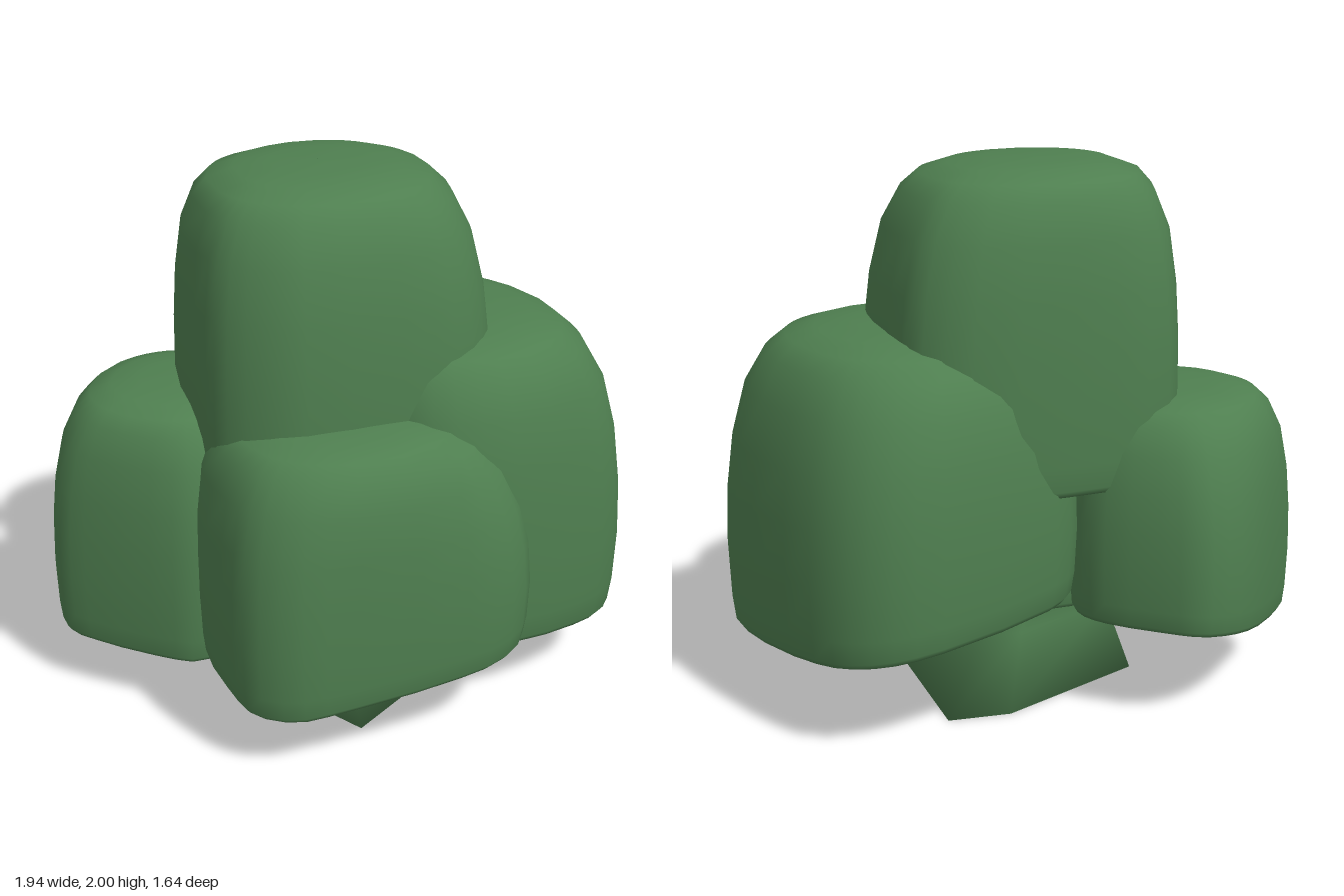
import * as THREE from 'three';

const green = new THREE.MeshStandardMaterial({ color: 0x4f7f50, side: THREE.DoubleSide });

// Skin a stack of rings, listed from bottom to top, with smooth normals
function loft(rings) {
  const n = rings[0].length, pos = rings.flat(2), index = [];
  for (let j = 0; j < rings.length - 1; j++) {
    for (let i = 0; i < n; i++) {
      const a = j * n + i, b = j * n + (i + 1) % n;
      index.push(a, a + n, b, b, a + n, b + n);
    }
  }
  const geo = new THREE.BufferGeometry();
  geo.setAttribute('position', new THREE.Float32BufferAttribute(pos, 3));
  geo.setIndex(index);
  geo.computeVertexNormals();
  return geo;
}

// Clump side: [outline scale, height fraction], from the rolled lip to the crown
const clumpProfile = [
  [0.9, 0.05], [0.92, 0.01], [0.945, 0], [0.97, 0.02], [0.988, 0.1], [1, 0.27], [0.992, 0.45],
  [0.965, 0.62], [0.905, 0.79], [0.8, 0.905], [0.69, 0.958], [0.52, 0.987], [0.3, 0.998], [0.002, 1],
];

// Hollow leaf clump over a rounded outline (x, z), with a slanted open bottom
function clump(name, { outline, bottom, top, slope = [0, 0], lean = [0, 0] }) {
  const curve = new THREE.CatmullRomCurve3(outline.map(([x, z]) => new THREE.Vector3(x, 0, z)), true);
  const pts = curve.getPoints(32).slice(0, 32);
  const box = new THREE.Box3().setFromPoints(pts);
  const c = box.getCenter(new THREE.Vector3()), size = box.getSize(new THREE.Vector3());
  const reach = pts.map((p) => 2 * Math.hypot((p.x - c.x) / size.x, (p.z - c.z) / size.z));
  const mean = reach.reduce((a, b) => a + b) / reach.length;
  const rings = clumpProfile.map(([s, t]) => pts.map((p, i) => {
    // towards the crown the outline becomes an ellipse
    const k = t * t * t, round = s * THREE.MathUtils.lerp(1, mean / reach[i], 0.9 * k);
    const dx = (p.x - c.x) * round, dz = (p.z - c.z) * round;
    const tilt = (slope[0] * dx + slope[1] * dz) * (1 - t);
    return [c.x + dx + lean[0] * k, bottom + (top - bottom) * t + tilt, c.z + dz + lean[1] * k];
  }));
  const mesh = new THREE.Mesh(loft(rings), green);
  mesh.name = name;
  return mesh;
}

// Flared five-sided trunk, leaning slightly back
function trunk() {
  const foot = [[-0.41, -0.2], [0.2, -0.28], [0.42, -0.2], [0.29, 0.32], [-0.21, 0.49]];
  const levels = [[0.002, 0], [1, 0], [0.7, 0.29], [0.55, 0.48], [0.48, 0.95], [0.002, 0.95]];
  const rings = levels.map(([s, y]) => foot.map(([x, z]) => [x * s - 0.06 * y, y, z * s - 0.14 * y]));
  const mesh = new THREE.Mesh(loft(rings), green);
  mesh.name = 'trunk';
  return mesh;
}

export function createModel() {
  const tree = new THREE.Group();
  tree.name = 'tree';
  tree.add(
    trunk(),
    clump('topFoliage', {
      outline: [[-0.43, -0.42], [-0.29, -0.53], [0, -0.5], [0.4, -0.38], [0.54, -0.22], [0.545, -0.08],
        [0.46, 0.28], [0.38, 0.43], [0.24, 0.51], [0.03, 0.51], [-0.37, 0.42], [-0.5, 0.33],
        [-0.59, 0.19], [-0.58, 0.04]],
      bottom: 0.87, top: 2, lean: [-0.03, -0.02],
    }),
    clump('leftFoliage', {
      outline: [[0.12, -0.46], [0.62, -0.475], [0.79, -0.42], [0.9, -0.3], [0.955, -0.1], [0.965, 0.35],
        [0.91, 0.57], [0.8, 0.68], [0.62, 0.725], [0.27, 0.725], [0.05, 0.65], [-0.07, 0.5],
        [-0.12, 0.2], [-0.1, -0.2], [-0.02, -0.38]],
      bottom: 0.35, top: 1.43, slope: [-0.1, -0.12], lean: [-0.05, 0.02],
    }),
    clump('frontFoliage', {
      outline: [[-0.54, -0.06], [-0.4, -0.2], [-0.2, -0.25], [0.1, -0.24], [0.28, -0.15], [0.36, 0.05],
        [0.385, 0.5], [0.35, 0.74], [0.21, 0.82], [0, 0.81], [-0.43, 0.71], [-0.6, 0.65], [-0.7, 0.52],
        [-0.7, 0.37], [-0.65, 0.1]],
      bottom: 0.305, top: 1.21, slope: [0.1, -0.05], lean: [-0.01, 0],
    }),
    clump('backFoliage', {
      outline: [[-0.97, -0.37], [-0.93, -0.5], [-0.82, -0.6], [-0.54, -0.78], [-0.39, -0.82],
        [-0.26, -0.8], [-0.17, -0.7], [-0.05, -0.51], [-0.03, -0.38], [-0.1, -0.22], [-0.35, 0.03],
        [-0.5, 0.12], [-0.66, 0.11], [-0.76, 0], [-0.92, -0.25]],
      bottom: 0.295, top: 1.18, slope: [0.14, -0.1], lean: [0.02, 0.02],
    }),
  );
  return tree;
}
